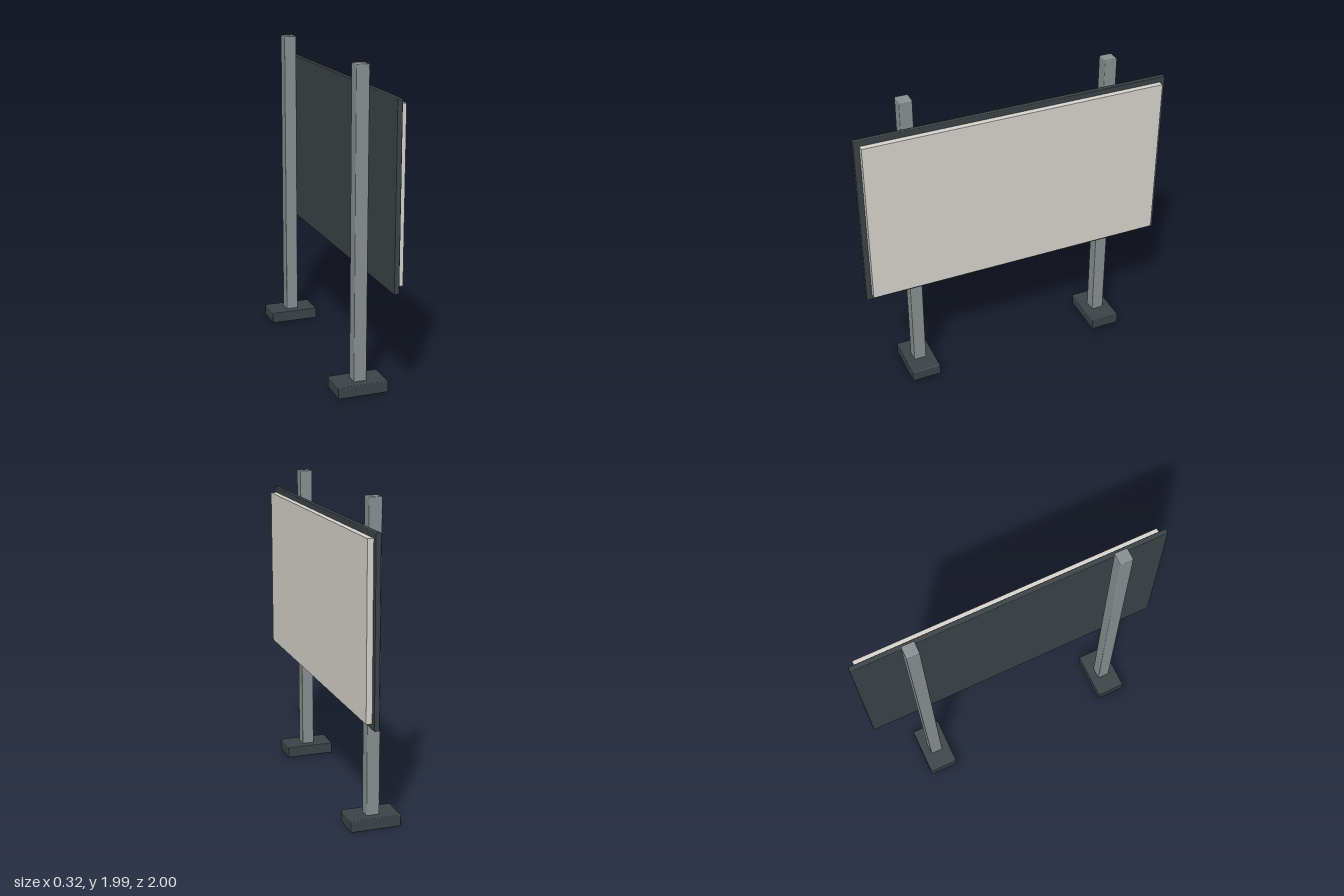
import * as THREE from 'three';
import { RoundedBoxGeometry } from 'three/addons/geometries/RoundedBoxGeometry.js';

const steel = new THREE.MeshStandardMaterial({ name: 'grey steel', color: 0x8a9092 });
const dark = new THREE.MeshStandardMaterial({ name: 'dark metal', color: 0x3c4347 });
const cream = new THREE.MeshStandardMaterial({ name: 'pale panel', color: 0xd8d5cf });

// Box given by its minimum and maximum corners, with an optional small bevel
function box(name, material, min, max, bevel = 0) {
  const size = max.map((v, i) => v - min[i]);
  const geometry = bevel
    ? new RoundedBoxGeometry(...size, 1, bevel)
    : new THREE.BoxGeometry(...size);
  const mesh = new THREE.Mesh(geometry, material);
  mesh.name = name;
  mesh.position.set(...max.map((v, i) => (v + min[i]) / 2));
  return mesh;
}

export function createModel() {
  const group = new THREE.Group();
  group.name = 'billboard';

  // Two posts, each on a footing block
  for (const side of [-1, 1]) {
    const z = side * 0.655;
    const label = side > 0 ? 'front' : 'back';
    group.add(
      box(label + 'Footing', dark, [-0.16, 0, z - 0.096], [0.16, 0.073, z + 0.096], 0.006),
      box(label + 'Post', steel, [-0.041, 0.06, z - 0.041], [0.041, 1.987, z + 0.041], 0.006),
    );
  }

  // Backing board with the display panel on its +x face
  group.add(
    box('backingBoard', dark, [0.08, 0.715, -1], [0.112, 1.838, 1], 0.005),
    box('displayPanel', cream, [0.108, 0.751, -0.964], [0.148, 1.804, 0.964]),
  );
  return group;
}
